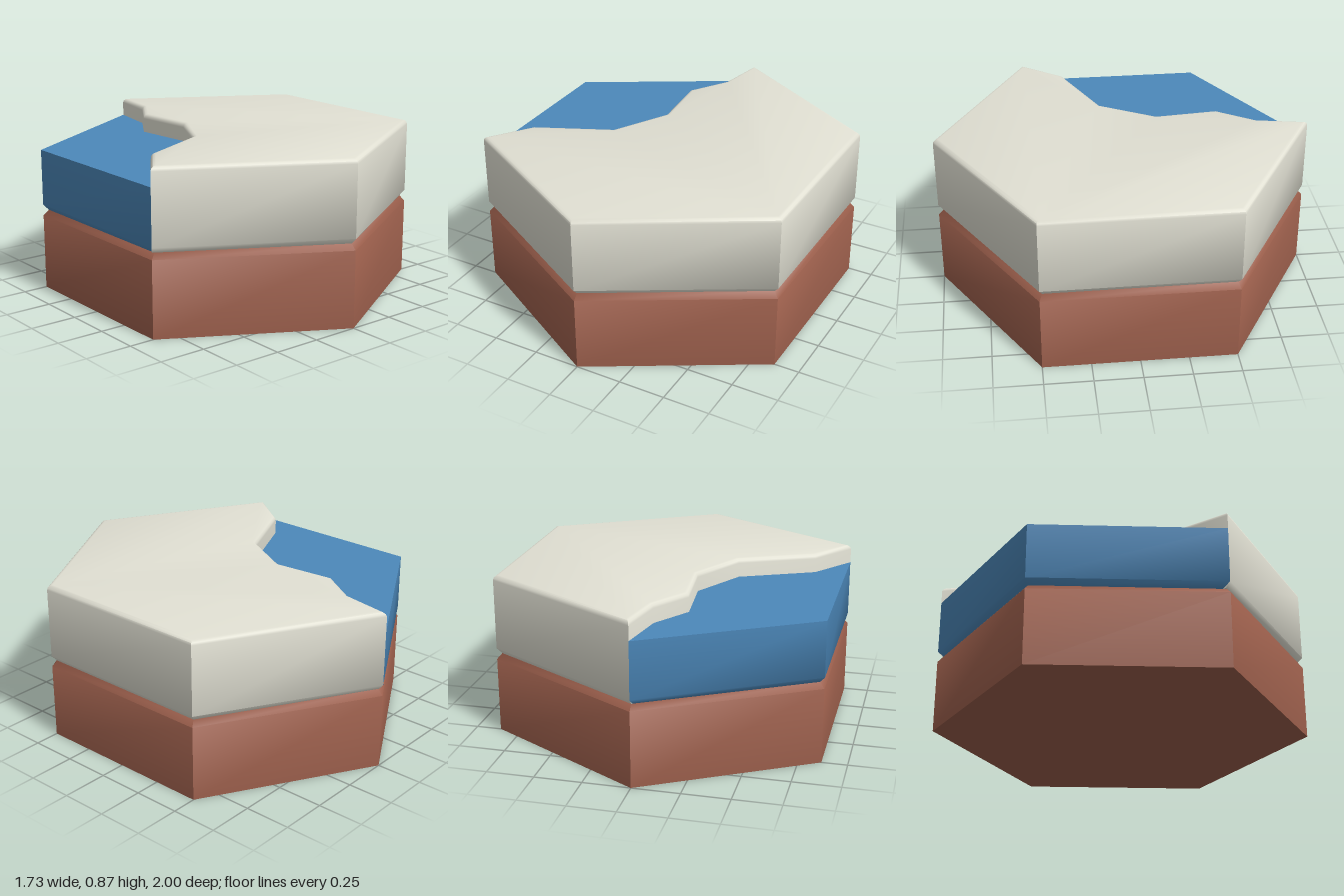
import * as THREE from 'three';
import { toCreasedNormals } from 'three/addons/utils/BufferGeometryUtils.js';

const W = Math.sqrt(3) / 2;
const BEVEL = 0.025;
const SEAM = 0.435; // height where the base meets the upper blocks
const WATER_TOP = 0.765;
const TOP = 0.866;

// Plan outlines as [x, z], counter-clockwise seen from above
const shore = [[-0.05, -0.73], [-0.18, -0.53], [-0.15, -0.2], [-0.31, 0.09], [-0.7, 0.27]];
const back = [0, -1], backRight = [-W, -0.5], frontRight = [-W, 0.5];
const front = [0, 1], frontLeft = [W, 0.5], backLeft = [W, -0.5];

// Move each edge of an outline inwards by its own distance and mitre the corners
function insetOutline(points, distance) {
  const n = points.length;
  const normals = points.map((p, i) => {
    const d = points[(i + 1) % n].clone().sub(p).normalize();
    return new THREE.Vector2(-d.y, d.x);
  });
  return points.map((p, i) => {
    const h = (i + n - 1) % n, a = normals[h], b = normals[i];
    const da = distance(h), db = distance(i), det = a.x * b.y - a.y * b.x;
    return new THREE.Vector2(p.x + (da * b.y - db * a.y) / det, p.y + (db * a.x - da * b.x) / det);
  });
}

// Stack inset copies of an outline into a closed block; rings are { y, inset, outerOnly }
function block(name, color, outline, rings, isShore = () => false) {
  const points = outline.map(([x, z]) => new THREE.Vector2(x, -z));
  const n = points.length;
  const loops = rings.map(({ inset, outerOnly }) =>
    insetOutline(points, (i) => (outerOnly && isShore(i) ? 0 : inset)));
  const position = [], index = [];
  loops.forEach((loop, r) => loop.forEach((p) => position.push(p.x, rings[r].y, -p.y)));
  for (let r = 0; r < loops.length - 1; r++) {
    for (let i = 0; i < n; i++) {
      const a = r * n + i, b = r * n + (i + 1) % n;
      index.push(a, b, b + n, a, b + n, a + n);
    }
  }
  const last = (loops.length - 1) * n;
  for (const [a, b, c] of THREE.ShapeUtils.triangulateShape(loops[0], [])) index.push(a, c, b);
  for (const [a, b, c] of THREE.ShapeUtils.triangulateShape(loops[loops.length - 1], [])) {
    index.push(last + a, last + b, last + c);
  }
  const geometry = new THREE.BufferGeometry();
  geometry.setAttribute('position', new THREE.Float32BufferAttribute(position, 3));
  geometry.setIndex(index);
  const mesh = new THREE.Mesh(
    toCreasedNormals(geometry, THREE.MathUtils.degToRad(46)),
    new THREE.MeshStandardMaterial({ color }));
  mesh.name = name;
  return mesh;
}

export function createModel() {
  const model = new THREE.Group();
  model.name = 'coastTile';

  // Hexagonal earth base with a chamfered upper rim
  model.add(block('earthBase', 0x9c5f4c,
    [back, backRight, frontRight, front, frontLeft, backLeft],
    [{ y: 0, inset: 0 }, { y: SEAM - 0.03, inset: 0 }, { y: SEAM, inset: BEVEL }]));

  // The upper blocks share a chamfered lower rim along the hexagon sides
  const foot = [{ y: SEAM, inset: BEVEL, outerOnly: true }, { y: SEAM + 0.03, inset: 0 }];

  // Sand block with a rounded top edge, also along the shoreline
  const rounded = [0, 1, 2, 3].map((k) => {
    const t = (k / 3) * Math.PI / 2;
    return { y: TOP - BEVEL * (1 - Math.sin(t)), inset: BEVEL * (1 - Math.cos(t)) };
  });
  model.add(block('sand', 0xe2e1d4,
    [back, ...shore, frontRight, front, frontLeft, backLeft],
    [...foot, ...rounded], (i) => i <= shore.length));

  // Lower, flat water block filling the rest of the hexagon
  model.add(block('water', 0x4c88ba,
    [back, backRight, frontRight, ...[...shore].reverse()],
    [...foot, { y: WATER_TOP, inset: 0 }], (i) => i >= 2));

  return model;
}
